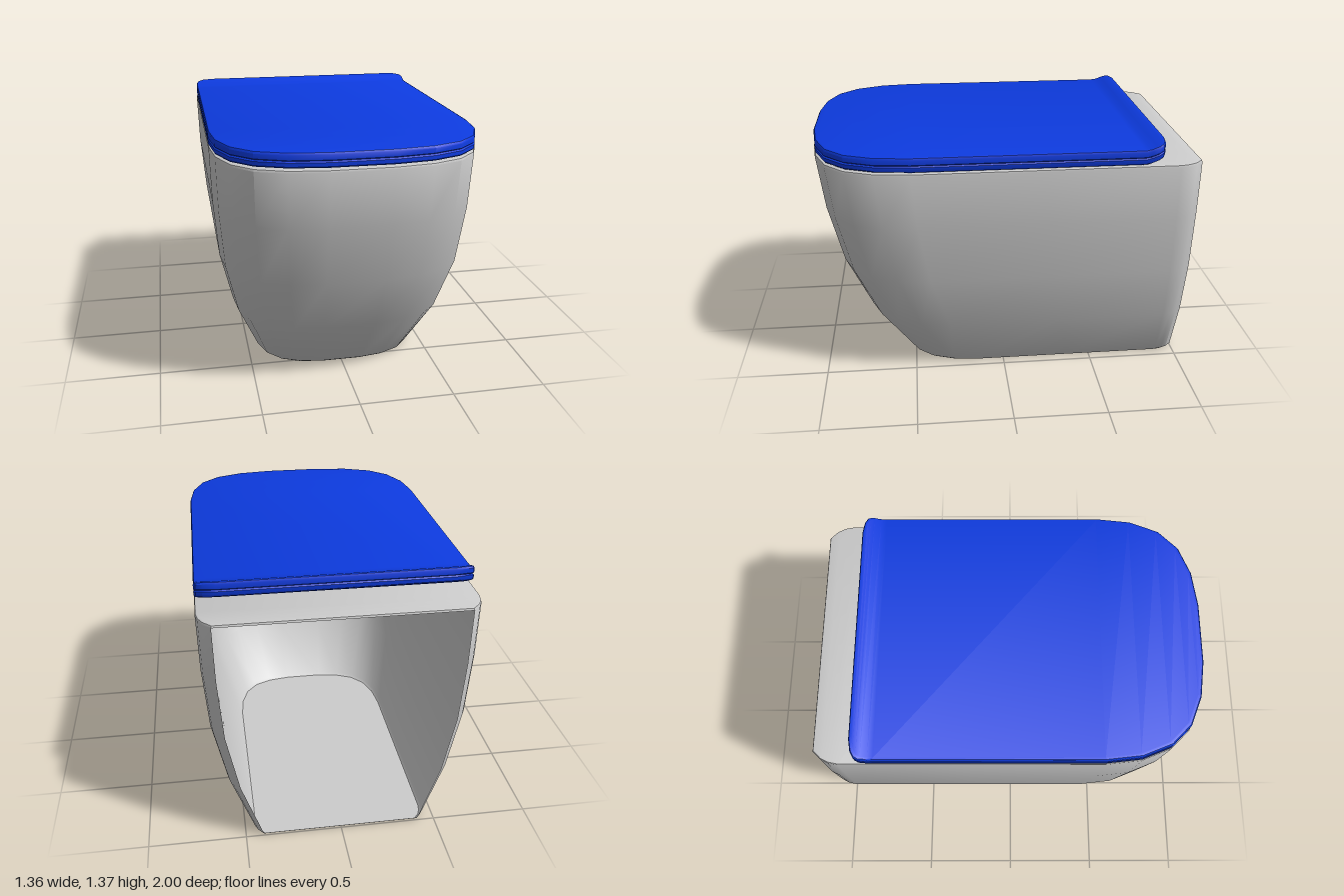
import * as THREE from 'three';
import { toCreasedNormals } from 'three/addons/utils/BufferGeometryUtils.js';

// Front curve shared by bowl and lid: right half, running towards the front
const FRONT = [[0.68, 0.48], [0.66, 0.66], [0.6, 0.81], [0.5, 0.91], [0.35, 0.97], [0.16, 0.995]];
const BODY = [[0.61, -1], [0.65, -0.96], [0.67, -0.92], [0.68, -0.87], [0.68, -0.2], ...FRONT];
const LID = [[0.58, -0.8], [0.64, -0.79], [0.67, -0.775], [0.68, -0.755], [0.68, -0.72], [0.68, -0.69], ...FRONT];

// Skins half outlines (arrays of [x, y, z]) mirrored in x, with flat strips
// closing top and bottom. closeBack(i) says whether band i is closed at the back.
function loft(halves, closeBack, crease) {
  const n = halves[0].length;
  const count = 2 * n;
  const pos = [];
  const index = [];
  for (const half of halves) {
    for (const [x, y, z] of half) pos.push(x, y, z);
    for (const [x, y, z] of [...half].reverse()) pos.push(-x, y, z);
  }
  for (let i = 0; i < halves.length - 1; i++) {
    const end = closeBack(i) ? count : count - 1;
    for (let j = 0; j < end; j++) {
      const a = i * count + j;
      const b = i * count + (j + 1) % count;
      index.push(a, a + count, b, b, a + count, b + count);
    }
  }
  const top = (halves.length - 1) * count;
  for (let j = 0; j < n - 1; j++) {
    const r = j, l = count - 1 - j;
    index.push(top + r, top + l, top + r + 1, top + r + 1, top + l, top + l - 1);
    index.push(r, r + 1, l, r + 1, l - 1, l);
  }
  const geometry = new THREE.BufferGeometry();
  geometry.setAttribute('position', new THREE.Float32BufferAttribute(pos, 3));
  geometry.setIndex(index);
  return toCreasedNormals(geometry, crease);
}

function addMesh(group, name, geometry, color) {
  const material = new THREE.MeshStandardMaterial({ color, side: THREE.DoubleSide });
  const mesh = new THREE.Mesh(geometry, material);
  mesh.name = name;
  group.add(mesh);
}

export function createModel() {
  const group = new THREE.Group();
  group.name = 'wallHungToilet';

  // Bowl shell, open at the wall side: [height, half width, front z, inset]
  const sections = [
    [0, 0.45, 0.54, 0.012], [0.012, 0.455, 0.55, 0], [0.32, 0.575, 0.755, 0], [0.63, 0.645, 0.89, 0],
    [0.95, 0.672, 0.965, 0], [1.238, 0.68, 1, 0], [1.248, 0.68, 1, 0.004], [1.252, 0.68, 1, 0.015],
  ];
  const bowlRings = sections.map(([y, w, front, inset]) => BODY.map(([x, z]) => [
    x * w / 0.68 * (1 - inset),
    y,
    (-1 + (z + 1) * (front + 1) / 1.995) * (1 - inset),
  ]));
  const last = sections.length - 2;
  addMesh(group, 'bowlShell', loft(bowlRings, (i) => i === 0 || i >= last - 1, 0.6), 0xcccccc);

  // Seat and lid share an outline and both curl upwards at the hinge edge
  const lift = (z) => 0.035 * THREE.MathUtils.clamp((-0.7 - z) / 0.09, 0, 1);
  const slab = (profile) => loft(
    profile.map(([y, inset]) => LID.map(([x, z]) => {
      const pz = z * (1 - inset);
      return [x * (1 - inset), y + lift(pz), pz];
    })),
    () => true,
    0.6,
  );
  const blue = 0x0d3be0;
  addMesh(group, 'seat', slab([[1.253, 0.03], [1.26, 0.006], [1.267, 0], [1.286, 0], [1.292, 0.008]]), blue);
  addMesh(group, 'lid', slab([[1.292, 0.008], [1.298, 0], [1.322, 0], [1.332, 0.006], [1.336, 0.02]]), blue);

  return group;
}
